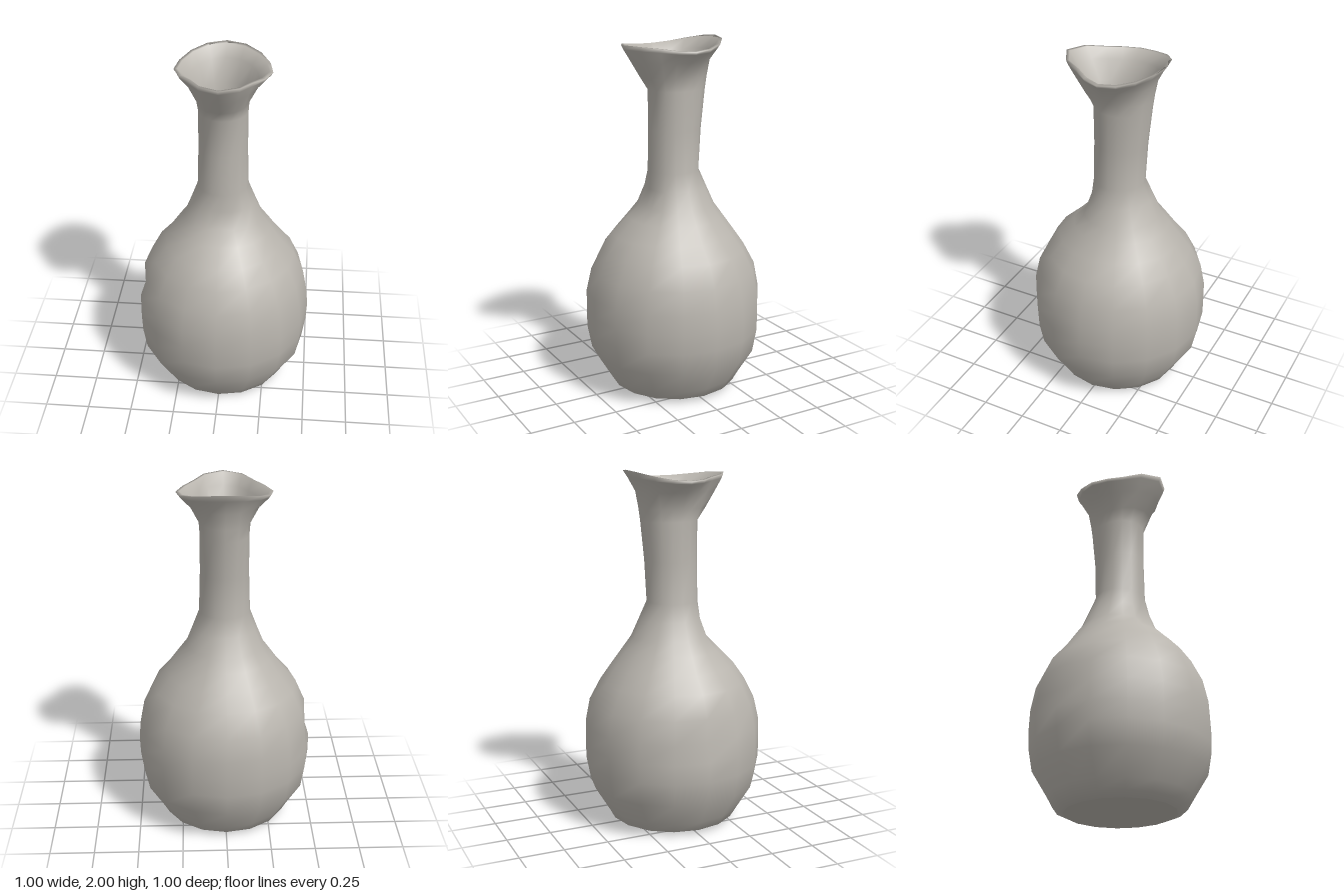
import * as THREE from 'three';

const SEG = 16;

// Cross-section: [y, front radius, side radius, back radius, spout pinch, front lift, back lift]
const outerRings = [
  [0.00, 0.31, 0.30, 0.31],
  [0.025, 0.355, 0.36, 0.36],
  [0.08, 0.39, 0.39, 0.39],
  [0.22, 0.475, 0.475, 0.475],
  [0.35, 0.50, 0.495, 0.50],
  [0.46, 0.50, 0.50, 0.50],
  [0.57, 0.50, 0.49, 0.50],
  [0.70, 0.47, 0.465, 0.475],
  [0.82, 0.41, 0.41, 0.41],
  [0.91, 0.35, 0.33, 0.35],
  [1.00, 0.26, 0.27, 0.285],
  [1.07, 0.20, 0.22, 0.235],
  [1.17, 0.155, 0.18, 0.19],
  [1.27, 0.142, 0.142, 0.145],
  [1.50, 0.138, 0.135, 0.16],
  [1.72, 0.14, 0.135, 0.185],
  [1.79, 0.19, 0.14, 0.195],
  [1.88, 0.255, 0.195, 0.205, 0.025],
  [1.93, 0.30, 0.25, 0.245, 0.045, 0.02, 0.03],
  [1.945, 0.313, 0.26, 0.272, 0.053, 0.03, 0.055],
];
const innerRings = [
  [1.948, 0.295, 0.24, 0.253, 0.05, 0.025, 0.045],
  [1.90, 0.25, 0.19, 0.21, 0.03, 0.01, 0.03],
  [1.80, 0.17, 0.13, 0.175],
  [1.70, 0.125, 0.115, 0.16],
  [1.27, 0.115, 0.115, 0.125],
  [1.05, 0.18, 0.20, 0.20],
  [0.82, 0.38, 0.38, 0.38],
  [0.50, 0.465, 0.465, 0.465],
  [0.22, 0.44, 0.44, 0.44],
  [0.03, 0.31, 0.31, 0.31],
];

// Point of a ring at an angle measured from the front
function ringPoint([y, f, s, b, pinch = 0, liftF = 0, liftB = 0], a) {
  const c = Math.cos(a), c2 = c * c;
  const front = c > 0;
  let r = s * (1 - c2) + (front ? f : b) * c2;
  if (front) r -= pinch * Math.sin(2 * a) ** 2;
  const h = y + (front ? liftF : liftB) * c2;
  return [r * Math.sin(a), h, r * c];
}

// Skin between rings, closed around the axis
function loft(rings) {
  const pos = [], idx = [];
  rings.forEach(ring => {
    for (let i = 0; i < SEG; i++) pos.push(...ringPoint(ring, (i / SEG) * Math.PI * 2));
  });
  for (let j = 0; j < rings.length - 1; j++) {
    for (let i = 0; i < SEG; i++) {
      const k = (i + 1) % SEG;
      const a = j * SEG + i, b = j * SEG + k, c = a + SEG, d = b + SEG;
      idx.push(a, b, d, a, d, c);
    }
  }
  const g = new THREE.BufferGeometry();
  g.setAttribute('position', new THREE.Float32BufferAttribute(pos, 3));
  g.setIndex(idx);
  return g;
}

// Shallow worn hollow: pull nearby vertices toward the axis
function dent(g, centre, size, depth) {
  const p = g.attributes.position, v = new THREE.Vector3();
  for (let i = 0; i < p.count; i++) {
    v.fromBufferAttribute(p, i);
    const w = depth * Math.exp(-v.distanceToSquared(centre) / (size * size));
    const r = Math.hypot(v.x, v.z), k = (r - w) / r;
    p.setXYZ(i, v.x * k, v.y, v.z * k);
  }
}

// Flat disc matching a ring
function disc(ring, up) {
  const shape = new THREE.Shape();
  for (let i = 0; i < SEG; i++) {
    const [x, , z] = ringPoint(ring, (i / SEG) * Math.PI * 2);
    if (i) shape.lineTo(x, up ? -z : z); else shape.moveTo(x, up ? -z : z);
  }
  const g = new THREE.ShapeGeometry(shape);
  g.rotateX(up ? -Math.PI / 2 : Math.PI / 2);
  g.translate(0, ring[0], 0);
  return g;
}

export function createModel() {
  const group = new THREE.Group();
  group.name = 'vase';
  const clay = new THREE.MeshStandardMaterial({ color: 0xb9b5ae });
  clay.name = 'pale clay';
  const add = (name, g) => {
    const m = new THREE.Mesh(g, clay);
    m.name = name;
    group.add(m);
  };

  // Body, neck, flared lip and inner wall as one skin
  const body = loft([...outerRings, ...innerRings]);
  dent(body, new THREE.Vector3(-0.49, 0.58, 0.0), 0.08, 0.03);
  dent(body, new THREE.Vector3(0, 1.08, 0.2), 0.08, 0.035);
  body.computeVertexNormals();
  add('bodyAndNeck', body);

  // Underside and inner floor
  add('base', disc(outerRings[0], false));
  add('innerFloor', disc(innerRings[innerRings.length - 1], true));
  return group;
}
